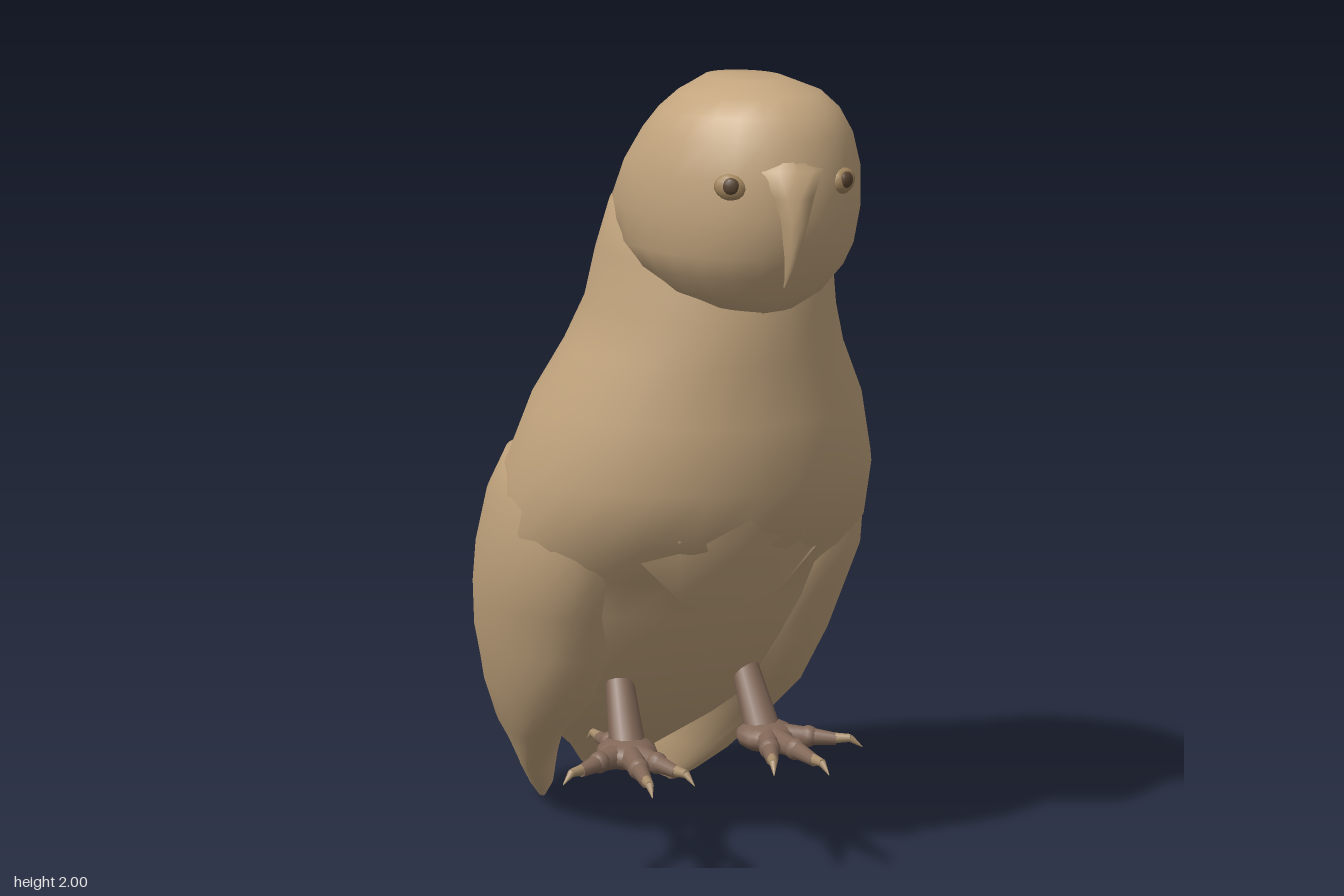
import * as THREE from 'three';

const mat = (name, color) => {
  const m = new THREE.MeshStandardMaterial({ color });
  m.name = name;
  return m;
};

// Skin a grid of points: rows run downward, each row runs from front toward +x
function skin(rows, closed) {
  const n = rows[0].length, idx = [];
  for (let i = 0; i < rows.length - 1; i++) {
    for (let j = 0; j < (closed ? n : n - 1); j++) {
      const k = (j + 1) % n;
      const a = i * n + j, b = i * n + k, c = a + n, d = b + n;
      idx.push(a, c, b, b, c, d);
    }
  }
  const g = new THREE.BufferGeometry();
  g.setAttribute('position', new THREE.Float32BufferAttribute(rows.flat(2), 3));
  g.setIndex(idx);
  g.computeVertexNormals();
  return g;
}

// Oval cross-sections: [y, half width, front z, back z, centre x, sideways skew]
function ovals(sections, side = 1, n = 24) {
  return skin(sections.map(([y, w, zf, zb, cx = 0, skew = 0]) =>
    Array.from({ length: n }, (_, j) => {
      const a = (j / n) * Math.PI * 2, c = Math.cos(a);
      return [side * (cx + skew * c) + w * Math.sin(a), y, (zf + zb) / 2 + c * (zf - zb) / 2];
    })), true);
}

export function createModel() {
  const plumage = mat('tan plumage', 0xc4a67f);
  const shell = mat('tan plumage edge', 0xc4a67f);
  shell.side = THREE.DoubleSide;
  const skinBrown = mat('brown leg skin', 0x826858);
  const claw = mat('pale claw', 0xa88e6c);
  const eyeTan = mat('eye rim', 0xa5875f);
  const pupilBrown = mat('dark pupil', 0x5a4532);

  const owl = new THREE.Group();
  owl.name = 'owl';
  const add = (name, geometry, material, parent = owl) => {
    const m = new THREE.Mesh(geometry, material);
    m.name = name;
    parent.add(m);
    return m;
  };

  // Body from nape to tail tip
  add('body', ovals([
    [1.80, 0, .3, .1], [1.78, .18, .4, .04], [1.70, .255, .44, -.035], [1.58, .28, .46, -.1],
    [1.45, .295, .48, -.17], [1.34, .335, .465, -.23], [1.2, .405, .46, -.315], [1.04, .45, .45, -.4],
    [.89, .465, .38, -.465], [.78, .455, .25, -.51], [.68, .435, .19, -.54], [.56, .41, .11, -.57],
    [.40, .34, -.03, -.605], [.28, .25, -.2, -.635], [.14, .11, -.42, -.665],
    [.07, .06, -.53, -.665], [.04, 0, -.6, -.63],
  ]), plumage);

  // Rounded head overhanging the breast at the chin
  add('head', ovals([
    [2.0, 0, .46, .28], [2.0, .085, .48, .25], [1.97, .16, .575, .22], [1.93, .205, .615, .175],
    [1.88, .236, .645, .12], [1.8, .264, .66, .04], [1.71, .274, .665, -.04], [1.62, .262, .64, -.02],
    [1.57, .235, .61, .05], [1.52, .185, .575, .12], [1.485, .11, .54, .2], [1.47, 0, .48, .3],
  ]), plumage);

  // Wedge running from brow to beak
  add('beak', ovals([
    [1.87, 0, .62, .5], [1.82, .085, .672, .56], [1.76, .055, .688, .56], [1.7, .036, .692, .56],
    [1.62, .018, .668, .54], [1.55, 0, .605, .54],
  ], 1, 12), plumage);

  // Loose lower edge of the breast feathers, a shallow V
  const flap = [
    [[.34, 1.02, .25], [.18, 1.06, .38], [0, 1.08, .445]],
    [[.30, .95, .28], [.16, .92, .365], [0, .90, .40]],
    [[.25, .88, .285], [.13, .755, .285], [0, .69, .25]],
  ].map(row => [
    ...row.map(([x, y, z]) => [-x, y, z]),
    ...row.slice(0, 2).reverse(),
  ]);
  add('breastFeathers', skin(flap, false), shell);

  // A tapering limb segment between two points
  const up = new THREE.Vector3(0, 1, 0);
  const limb = (name, a, b, ra, rb, material, parent) => {
    const p = new THREE.Vector3(...a), q = new THREE.Vector3(...b), d = q.clone().sub(p);
    const m = add(name, new THREE.CylinderGeometry(rb, ra, d.length(), 10), material, parent);
    m.position.copy(p).add(q).multiplyScalar(.5);
    m.quaternion.setFromUnitVectors(up, d.normalize());
  };
  const ball = (name, p, r, scale, material, parent) => {
    const m = add(name, new THREE.SphereGeometry(r, 12, 8), material, parent);
    m.position.set(...p);
    m.scale.set(...scale);
    return m;
  };

  for (const s of [1, -1]) {
    const label = s > 0 ? 'left' : 'right';

    // Folded wing ending in a free tip beside the tail
    add(label + 'Wing', ovals([
      [1.16, 0, .1, 0, .33], [1.06, .09, .16, -.22, .34], [.95, .145, .2, -.32, .322],
      [.8, .175, .19, -.42, .302], [.68, .178, .12, -.475, .29], [.55, .172, .06, -.53, .275],
      [.40, .14, -.06, -.585, .267, .02], [.27, .085, -.22, -.64, .262, .03],
      [.135, .055, -.38, -.688, .205, .055], [.05, .034, -.48, -.66, .185, .025],
      [.005, .012, -.55, -.63, .177, .01], [0, 0, -.57, -.61, .177],
    ], s), plumage);

    // Eye set beside the beak
    const eye = new THREE.Group();
    eye.name = label + 'Eye';
    eye.position.set(s * .135, 1.785, .612);
    eye.rotation.set(0, s * .4, s * .2);
    owl.add(eye);
    ball('eyeRim', [0, 0, 0], .037, [1, .8, .5], eyeTan, eye);
    ball('pupil', [0, .004, .013], .019, [1, 1, .5], pupilBrown, eye);

    // Leg and foot
    const leg = new THREE.Group();
    leg.name = label + 'Leg';
    owl.add(leg);
    limb('shin', [s * .18, .33, .07], [s * .165, .5, -.035], .045, .033, skinBrown, leg);
    ball('ankle', [s * .165, .5, -.035], .033, [1, 1, 1], skinBrown, leg);
    ball('footPad', [s * .185, .32, .08], .07, [1.1, .55, 1.15], skinBrown, leg);

    // Toes, each with a knuckle and a hooked claw
    for (const [dx, dz, len] of [[-.32, .95, .19], [.15, .99, .225], [.87, .5, .175], [.15, -.99, .14]]) {
      const at = (t, y) => [s * (.185 + dx * t), y, .08 + dz * t];
      limb('toe', at(.02, .32), at(len * .6, .322), .034, .023, skinBrown, leg);
      ball('knuckle', at(len * .6, .322), .027, [1, 1, 1], skinBrown, leg);
      limb('toeTip', at(len * .6, .322), at(len, .318), .023, .015, skinBrown, leg);
      limb('claw', at(len - .01, .32), at(len + .035, .322), .014, .01, claw, leg);
      limb('clawTip', at(len + .033, .322), at(len + .065, .3), .01, .001, claw, leg);
    }
  }
  return owl;
}
